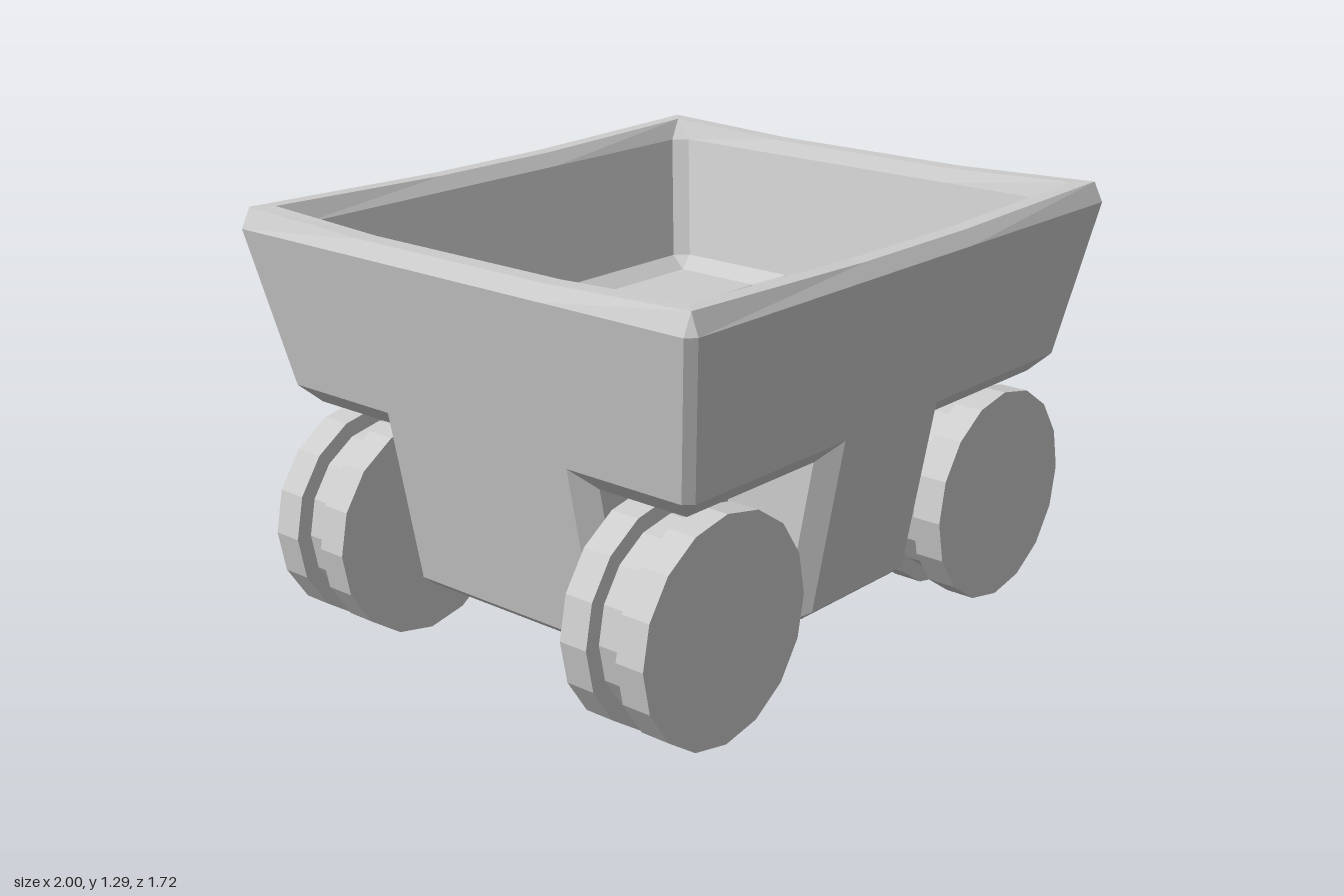
import * as THREE from 'three';

const material = new THREE.MeshStandardMaterial({ color: 0xcccccc, flatShading: true });
const RIM_Y = 1.235;

// Collects polygons of one quadrant (x, z > 0) and mirrors them to all four.
function makeCollector() {
  const positions = [];
  const add = (pts, flip) => {
    for (const sx of [1, -1]) for (const sz of [1, -1]) {
      const p = pts.map(([x, y, z]) => [x * sx, y, z * sz]);
      if ((sx * sz < 0) !== flip) p.reverse();
      for (let i = 1; i < p.length - 1; i++) positions.push(...p[0], ...p[i], ...p[i + 1]);
    }
  };
  const mesh = (name) => {
    const g = new THREE.BufferGeometry();
    g.setAttribute('position', new THREE.Float32BufferAttribute(positions, 3));
    g.computeVertexNormals();
    const m = new THREE.Mesh(g, material);
    m.name = name;
    return m;
  };
  return { add, mesh };
}

// One tapered skin with a boxed wheel recess in every corner.
// w: edge of recess on the wall, v: recess box wall, [x, z] each.
function makeSkin(name, o, inward) {
  const { w, v, y0, y1, yT, yC, b, c, d, e } = o;
  const { add, mesh } = makeCollector();
  const X = (y) => o.x - 0.2 * (RIM_Y - y);
  const Z = (y) => o.z - 0.187 * (RIM_Y - y);

  // the front half of the quadrant, then the same with x and z swapped
  for (const s of [0, 1]) {
    const put = (...pts) =>
      add(pts.map(([a, y, n]) => (s ? [n, y, a] : [a, y, n])), (s === 1) !== inward);
    const N = s ? X : Z, A = s ? Z : X;
    const ws = w[s], vs = v[s], vo = v[1 - s], yE = yC - e;
    // wall
    put([0, y1, N(y1)], [ws, y1, N(y1)], [ws, RIM_Y, N(RIM_Y)], [0, RIM_Y, N(RIM_Y)]);
    put([ws, yT, N(yT)], [A(yT) - c, yT, N(yT)], [A(RIM_Y) - c, RIM_Y, N(RIM_Y)], [ws, RIM_Y, N(RIM_Y)]);
    // bevel along the base
    put([0, y0, N(y0) - b], [ws, y0, N(y0) - b], [ws, y1, N(y1)], [0, y1, N(y1)]);
    put([ws, y0, N(y0) - b], [vs, y0, N(y0) - d], [ws, y1, N(y1)]);
    // bevels around the recess opening
    put([ws, y1, N(y1)], [vs, y0, N(y0) - d], [vs, yE, N(yE) - d], [ws, yT, N(yT)]);
    put([vs + e, yC, N(yC) - d], [A(yC) - d, yC, N(yC) - d], [A(yT) - c, yT, N(yT)], [ws, yT, N(yT)]);
    // recess side wall and its bevelled top edge
    put([vs, y0, N(y0) - d], [vs, y0, vo], [vs, yE, vo], [vs, yE, N(yE) - d]);
    if (e) {
      put([vs, yE, N(yE) - d], [vs, yE, vo], [vs + e, yC, vo + e], [vs + e, yC, N(yC) - d]);
      put([ws, yT, N(yT)], [vs, yE, N(yE) - d], [vs + e, yC, N(yC) - d]);
    }
  }
  // chamfered vertical corner
  add([[X(yT) - c, yT, Z(yT)], [X(yT), yT, Z(yT) - c],
    [X(RIM_Y), RIM_Y, Z(RIM_Y) - c], [X(RIM_Y) - c, RIM_Y, Z(RIM_Y)]], inward);
  add([[X(yC) - d, yC, Z(yC) - d], [X(yT), yT, Z(yT) - c], [X(yT) - c, yT, Z(yT)]], inward);
  // recess ceiling
  add([[v[0] + e, yC, v[1] + e], [X(yC) - d, yC, v[1] + e],
    [X(yC) - d, yC, Z(yC) - d], [v[0] + e, yC, Z(yC) - d]], inward);
  // cross-shaped floor
  add([[0, y0, 0], [X(y0) - b, y0, 0], [X(y0) - b, y0, w[1]], [X(y0) - d, y0, v[1]],
    [v[0], y0, v[1]], [v[0], y0, Z(y0) - d], [w[0], y0, Z(y0) - b], [0, y0, Z(y0) - b]], inward);
  return mesh(name);
}

// Bevelled rim joining both skins, dipping slightly along the middle of each side.
function makeRim(out, inn) {
  const { add, mesh } = makeCollector();
  const low = 1.277, high = 1.295;
  for (const s of [0, 1]) {
    const mid = s ? 0.35 : 0.24;
    // each row: outward offset, corner offset, middle height, corner height
    const rows = [
      [out.z, out.x - out.c, RIM_Y, RIM_Y, out.x, out.z - out.c],
      [0.835, 0.94, low, high, 0.94, 0.835],
      [0.785, 0.885, low, high, 0.885, 0.785],
      [inn.z, inn.x - inn.c, RIM_Y, RIM_Y, inn.x, inn.z - inn.c],
    ].map((r) => {
      const n = s ? r[4] : r[0], a = s ? r[5] : r[1];
      return [[0, r[2], n], [mid, r[2], n], [a, r[3], n]];
    });
    for (let i = 0; i < 3; i++) for (let j = 0; j < 2; j++) {
      const quad = [rows[i][j], rows[i][j + 1], rows[i + 1][j + 1], rows[i + 1][j]];
      add(quad.map(([a, y, n]) => (s ? [n, y, a] : [a, y, n])), s === 1);
    }
  }
  add([[out.x - out.c, RIM_Y, out.z], [out.x, RIM_Y, out.z - out.c], [0.94, high, 0.835]], false);
  add([[inn.x - inn.c, RIM_Y, inn.z], [0.885, high, 0.785], [inn.x, RIM_Y, inn.z - inn.c]], false);
  return mesh('rim');
}

// Sixteen-sided grooved wheel with its axis along z.
function makeWheelGeometry() {
  const R = 0.334, r = 0.285, h = 0.146, g = 0.052;
  const profile = [[0, -h], [R, -h], [R, -g], [r, -g], [r, g], [R, g], [R, h], [0, h]];
  return new THREE.LatheGeometry(profile.map((p) => new THREE.Vector2(...p)), 16).rotateX(Math.PI / 2);
}

export function createModel() {
  const model = new THREE.Group();
  model.name = 'cart';

  const outer = { x: 0.97, z: 0.862, w: [0.22, 0.35], v: [0.28, 0.41],
    y0: 0.19, y1: 0.22, yT: 0.76, yC: 0.7, b: 0.03, c: 0.025, d: 0.05, e: 0 };
  const inner = { x: 0.86, z: 0.755, w: [0.11, 0.22], v: [0.16, 0.28],
    y0: 0.3, y1: 0.33, yT: 0.85, yC: 0.81, b: 0.03, c: 0.04, d: 0.045, e: 0.04 };

  const body = new THREE.Group();
  body.name = 'body';
  body.add(makeSkin('outerShell', outer, false), makeSkin('innerShell', inner, true), makeRim(outer, inner));
  model.add(body);

  const wheelGeometry = makeWheelGeometry();
  for (const [sideName, sx] of [['Left', 1], ['Right', -1]]) {
    for (const [endName, sz] of [['front', 1], ['back', -1]]) {
      const wheel = new THREE.Mesh(wheelGeometry, material);
      wheel.name = `${endName}${sideName}Wheel`;
      wheel.position.set(0.666 * sx, 0.334, 0.581 * sz);
      model.add(wheel);
    }
  }
  return model;
}
